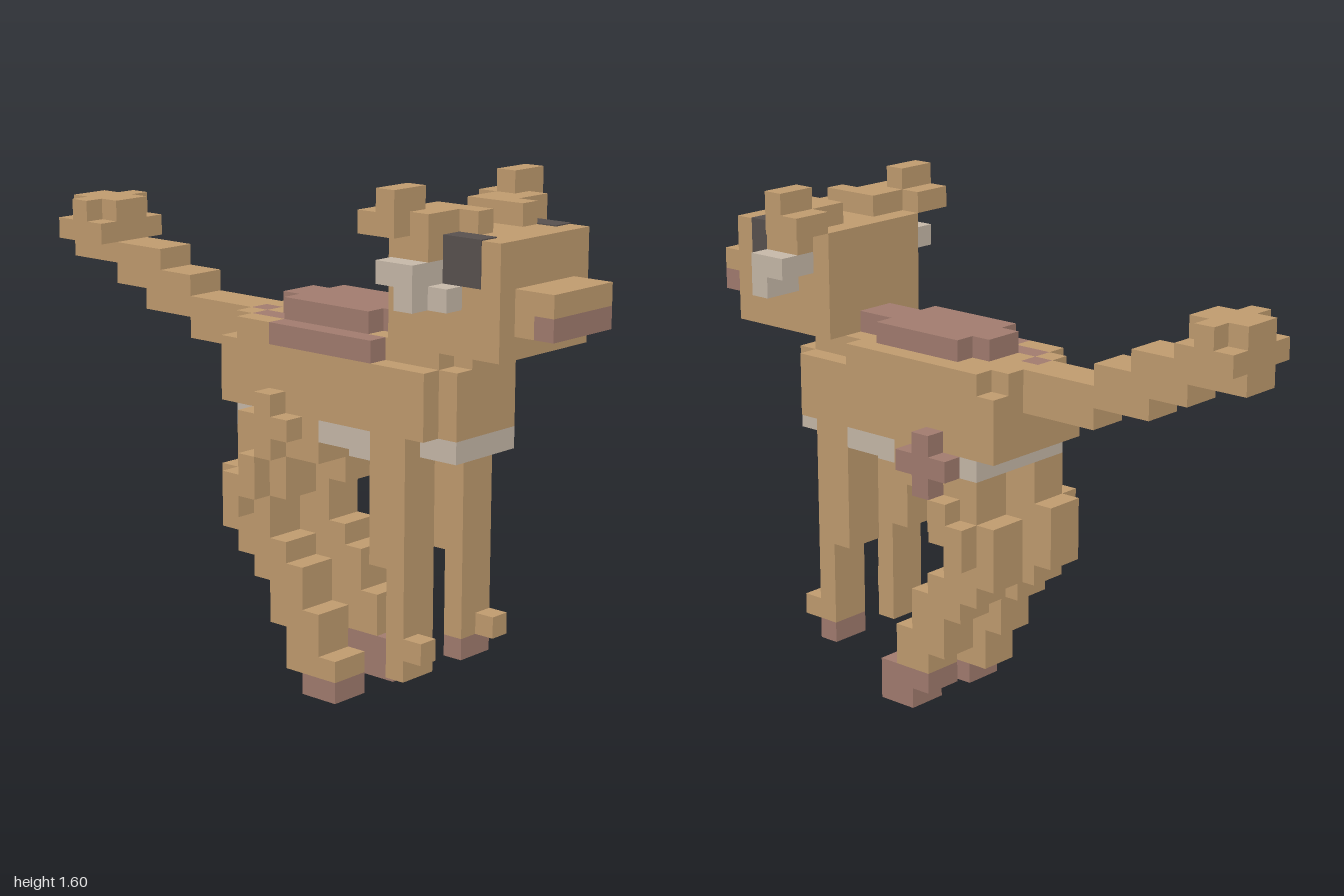
import * as THREE from 'three';

const U = 1 / 15; // one block

export function createModel() {
  const model = new THREE.Group();
  model.name = 'blockAnimal';

  const material = (name, color) => {
    const m = new THREE.MeshStandardMaterial({ color });
    m.name = name;
    return m;
  };
  const tan = material('tanFur', 0xc29d70);
  const mauve = material('mauvePatch', 0xa37d70);
  const grey = material('paleFur', 0xc8baaa);
  const dark = material('darkEye', 0x595250);

  const part = (name) => {
    const g = new THREE.Group();
    g.name = name;
    model.add(g);
    return g;
  };
  // Box given by its limits in blocks
  const box = (parent, name, mat, x0, x1, y0, y1, z0, z1) => {
    const geo = new THREE.BoxGeometry((x1 - x0) * U, (y1 - y0) * U, (z1 - z0) * U);
    const mesh = new THREE.Mesh(geo, mat);
    mesh.name = name;
    mesh.position.set((x0 + x1) / 2 * U, (y0 + y1) / 2 * U, (z0 + z1) / 2 * U);
    parent.add(mesh);
  };
  // Same box on side s (+1 left, -1 right)
  const sideBox = (parent, name, mat, s, x0, x1, ...rest) =>
    box(parent, name, mat, s > 0 ? x0 : -x1, s > 0 ? x1 : -x0, ...rest);

  // Head and muzzle
  const head = part('head');
  box(head, 'skull', tan, -3, 3, 17, 22, 7, 13);
  box(head, 'muzzleTop', tan, -2, 2, 19, 20, 13, 15);
  box(head, 'muzzleBottom', tan, -2, 2, 18, 19, 13, 14);
  box(head, 'mouth', mauve, -2, 2, 18, 19, 14, 15);

  // Eyes, ears and cheek tufts
  for (const s of [1, -1]) {
    sideBox(head, 'eye', dark, s, 2, 3.05, 20, 22.05, 10, 12);
    sideBox(head, 'earInner', tan, s, 1, 2, 22, 23, 8, 11);
    sideBox(head, 'earMiddle', tan, s, 2, 3, 22, 23, 8, 10);
    sideBox(head, 'earBase', tan, s, 3, 4, 21, 23, 8, 10);
    sideBox(head, 'earBack', tan, s, 3, 5, 22, 23, 7, 9);
    sideBox(head, 'earTip', tan, s, 3, 5, 23, 24, 8, 9);
    sideBox(head, 'cheekTop', grey, s, 3, 5, 20, 21, 8, 10);
    sideBox(head, 'cheekBottom', grey, s, 3, 5, 19, 20, 9, 10);
    sideBox(head, 'cheekFront', grey, s, 3, 4, 19, 20, 10, 11);
  }

  // Body with a stepped upper layer
  const body = part('body');
  box(body, 'trunk', tan, -3, 3, 13, 16, -3, 9);
  box(body, 'chest', tan, -2, 2, 13, 16, 9, 10);
  box(body, 'neck', tan, -1, 1, 16, 17, 9, 10);
  box(body, 'back', tan, -1, 2, 16, 17, -2, 9);
  box(body, 'backLeftEdge', tan, 2, 3, 16, 17, -2, 6);
  box(body, 'rumpLeft', tan, 0, 2, 16, 17, -3, -2);
  box(body, 'rumpRight', tan, -2, -1, 16, 17, -3, -2);
  box(body, 'rumpRightEdge', tan, -3, -2, 16, 17, -2, 0);
  box(body, 'backRight', tan, -2, -1, 16, 17, 0, 9);
  box(body, 'patchRight', mauve, -3, -2, 16, 17, 0, 6);
  box(body, 'patchRump', mauve, -2, -1, 16, 17, -2, 0);
  box(body, 'patchTail', mauve, -1, 0, 16, 17, -3, -2);
  box(body, 'saddle', mauve, -2, 2, 17, 18, 0, 5);
  box(body, 'saddleRidge', mauve, -1, 1, 17, 18, -1, 7);
  box(body, 'chestUnderside', grey, -2, 2, 12, 13, 8, 10);
  box(body, 'belly', grey, -2, 2, 12, 13, 3, 8);
  box(body, 'bellySides', grey, -3, 3, 12, 13, 3, 6);
  box(body, 'bellyBottom', grey, -1, 1, 11, 12, 3, 6);
  box(body, 'groin', grey, -1, 1, 12, 13, -1, 3);
  box(body, 'rearUnderside', grey, -3, 3, 12, 13, -2, -1);

  // Stepped tail with a tuft
  const tail = part('tail');
  [[15, 17, -7, -3], [16, 18, -10, -7], [17, 19, -12, -9]].forEach(([y0, y1, z0, z1]) =>
    box(tail, 'tailSegment', tan, -1, 1, y0, y1, z0, z1));
  box(tail, 'tuftCore', tan, -1, 1, 18, 21, -15, -12);
  box(tail, 'tuftSides', tan, -2, 2, 19, 20, -15, -12);
  box(tail, 'tuftTop', tan, -2, 2, 20, 21, -14, -13);

  // Hind leg slices: y0, y1, z0, z1
  const hindSlices = [
    [11, 13, -1, 3], [11, 12, -2, -1], [10, 11, -2, 1], [9, 10, -3, 1], [7, 9, -3, 0],
    [6, 7, -2, 1], [5, 6, -1, 2], [4, 5, 0, 2], [3, 4, 0, 3], [2, 3, 1, 3],
  ];

  for (const s of [1, -1]) {
    const side = s > 0 ? 'left' : 'right';
    const spot = s > 0 ? mauve : tan;

    // Front leg
    const front = part(side + 'FrontLeg');
    sideBox(front, 'upperLeg', tan, s, 1, 3, 7, 13, 6, 8);
    sideBox(front, 'lowerLeg', tan, s, 1, 3, 3, 7, 7, 8);
    sideBox(front, 'hoof', spot, s, 1, 3, 2, 3, 7, 8);
    sideBox(front, 'toe', tan, s, 2, 3, 3, 4, 8, 9);

    // Hind leg
    const hind = part(side + 'HindLeg');
    for (const slice of hindSlices) sideBox(hind, 'legSegment', tan, s, 1, 3, ...slice);
    sideBox(hind, 'ankle', spot, s, 1, 3, 1, 2, 1, 4);
    sideBox(hind, 'foot', mauve, s, 1, 3, 0, 1, 2, 4);

    // Raised hip spot and outer thigh
    sideBox(hind, 'hipAcross', spot, s, 3, 4, 12, 13, -1, 2);
    sideBox(hind, 'hipUpper', spot, s, 3, 4, 13, 14, 0, 1);
    sideBox(hind, 'hipLower', spot, s, 3, 4, 11, 12, 0, 1);
    sideBox(hind, 'outerThigh', tan, s, 3, 4, 9, 11, -1, 0);
    sideBox(hind, 'outerKnee', tan, s, 3, 4, 8, 10, -2, -1);
  }

  return model;
}
